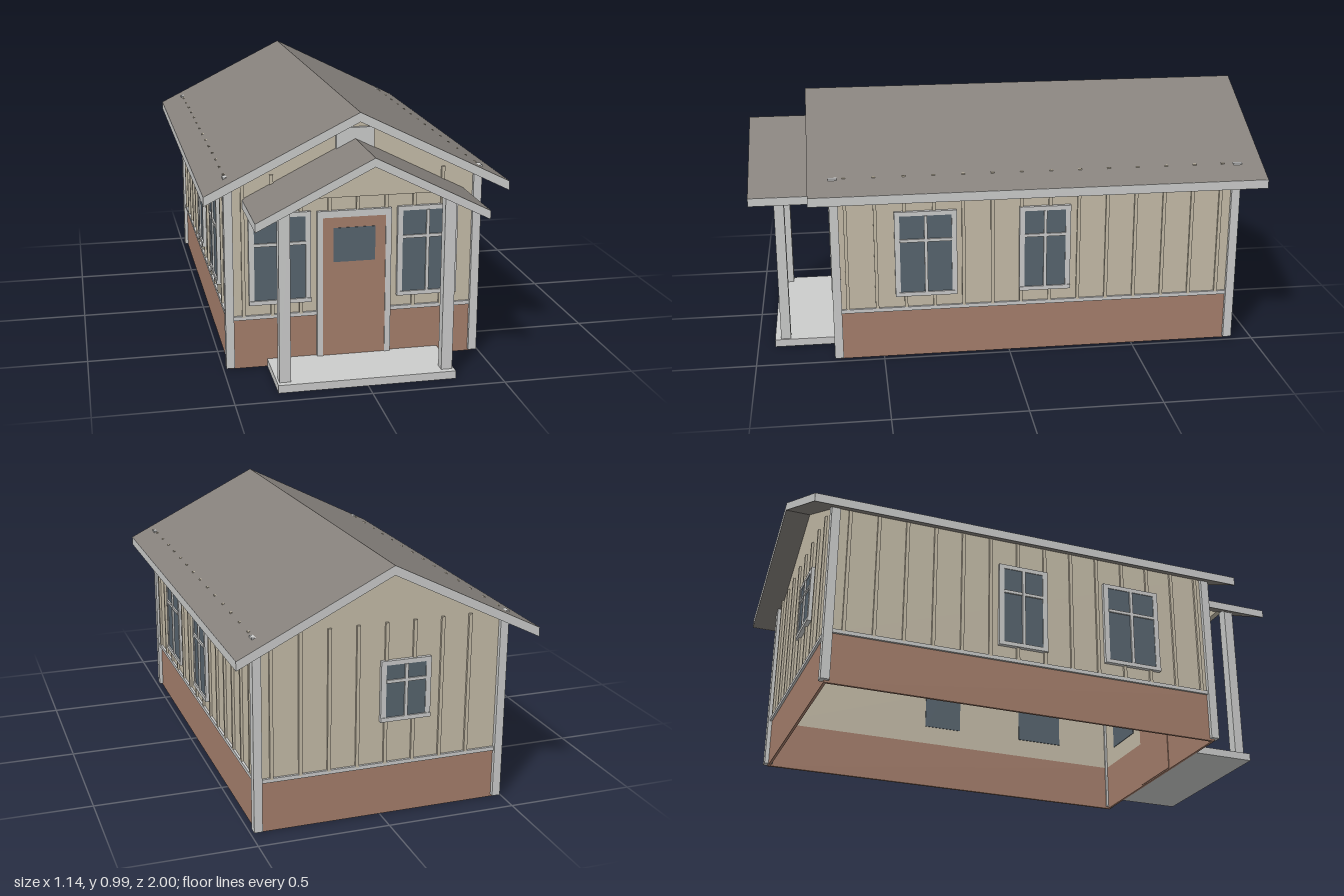
import * as THREE from 'three';

const mat = (name, color) => Object.assign(new THREE.MeshStandardMaterial({ color }), { name });

export function createModel() {
  const siding = mat('sidingBeige', 0xc6bda9);
  const trim = mat('trimGrey', 0xcccdcc);
  const brick = mat('clayBrown', 0xa67f6c);
  const glass = mat('windowBlueGrey', 0x58656f);
  const roofing = mat('roofGrey', 0x86817c);

  const house = new THREE.Group();
  house.name = 'house';

  // Box given by its two extreme corners
  function box(parent, name, m, x0, x1, y0, y1, z0, z1) {
    const mesh = new THREE.Mesh(new THREE.BoxGeometry(x1 - x0, y1 - y0, z1 - z0), m);
    mesh.position.set((x0 + x1) / 2, (y0 + y1) / 2, (z0 + z1) / 2);
    mesh.name = name;
    parent.add(mesh);
    return mesh;
  }

  // Outline in x/y extruded from z0 to z1
  function prism(parent, name, m, points, z0, z1) {
    const shape = new THREE.Shape(points.map(([x, y]) => new THREE.Vector2(x, y)));
    const geo = new THREE.ExtrudeGeometry(shape, { depth: z1 - z0, bevelEnabled: false });
    const mesh = new THREE.Mesh(geo, m);
    mesh.position.z = z0;
    mesh.name = name;
    parent.add(mesh);
    return mesh;
  }

  const W = 0.475, FRONT = 0.68, BACK = -0.9, T = 0.01;
  const BASE = 0.195, BATTEN_TOP = 0.75;

  // Gable walls and side walls, open underneath
  const gable = [[-W, BASE], [W, BASE], [W, 0.722], [0, 0.957], [-W, 0.722]];
  for (const [name, z] of [['front', FRONT - T], ['back', BACK]]) {
    prism(house, name + 'GableWall', siding, gable, z, z + T);
    box(house, name + 'Base', brick, -W, W, 0, BASE, z, z + T);
  }
  for (const s of [-1, 1]) {
    const a = s > 0 ? W - T : -W;
    box(house, 'sideWall', siding, a, a + T, BASE, 0.725, BACK + T, FRONT - T);
    box(house, 'sideBase', brick, a, a + T, 0, BASE, BACK + T, FRONT - T);
  }

  // Each face is a group whose +z points out of the wall; local x runs along it
  function face(name, x, z, turn) {
    const g = new THREE.Group();
    g.name = name;
    g.position.set(x, 0, z);
    g.rotation.y = turn;
    house.add(g);
    return g;
  }
  const front = face('frontFace', 0, FRONT, 0);
  const back = face('backFace', 0, BACK, Math.PI);
  const left = face('leftFace', W, 0, Math.PI / 2);
  const right = face('rightFace', -W, 0, -Math.PI / 2);

  const batten = (g, x, y0 = 0.205) =>
    box(g, 'batten', siding, x - 0.0065, x + 0.0065, y0, BATTEN_TOP, 0, 0.009);
  const band = (g, x0, x1) => box(g, 'waistTrim', trim, x0, x1, BASE, 0.21, 0, 0.009);

  // Window with frame, sill, one upright and one cross bar
  function windowUnit(g, x0, x1, y0, y1) {
    const w = new THREE.Group();
    w.name = 'window';
    g.add(w);
    const f = 0.02, cx = (x0 + x1) / 2, bar = y0 + (y1 - y0) * 0.66;
    box(w, 'pane', glass, x0 + f, x1 - f, y0 + 0.014, y1 - 0.017, -T - 0.003, 0.011);
    box(w, 'frameSide', trim, x0, x0 + f, y0, y1, 0, 0.014);
    box(w, 'frameSide', trim, x1 - f, x1, y0, y1, 0, 0.014);
    box(w, 'frameTop', trim, x0 + f, x1 - f, y1 - 0.017, y1, 0, 0.014);
    box(w, 'sill', trim, x0, x1, y0 - 0.002, y0 + 0.014, 0, 0.017);
    box(w, 'upright', trim, cx - 0.006, cx + 0.006, y0 + 0.014, y1 - 0.017, 0.01, 0.018);
    box(w, 'crossBar', trim, x0 + f, x1 - f, bar - 0.006, bar + 0.006, 0.01, 0.017);
  }

  // Gable end battens, skipping the doorway on the front
  for (let i = 0; i < 8; i++) {
    const x = -0.42 + i * 0.1086;
    batten(front, x, Math.abs(x) < 0.14 ? 0.6 : 0.205);
    batten(back, x);
  }
  band(front, -0.46, -0.142);
  band(front, 0.142, 0.46);
  band(back, -0.46, 0.46);
  for (const s of [-1, 1])
    windowUnit(front, s * 0.283 - 0.117, s * 0.283 + 0.117, 0.255, 0.605);
  windowUnit(back, -0.008, 0.187, 0.375, 0.607);

  // Long sides: local x is -z on the left face and +z on the right face
  for (const [g, dir] of [[left, -1], [right, 1]]) {
    for (let i = 0; i < 14; i++) batten(g, dir * (0.635 - i * 0.1135));
    const span = (z0, z1) => [Math.min(dir * z0, dir * z1), Math.max(dir * z0, dir * z1)];
    band(g, ...span(-0.89, 0.67));
    windowUnit(g, ...span(0.207, 0.449), 0.26, 0.605);
    windowUnit(g, ...span(-0.24, -0.038), 0.26, 0.605);
  }

  // Corner posts
  for (const s of [-1, 1])
    for (const z of [0.677, -0.899])
      box(house, 'cornerPost', trim, s * 0.474 - 0.016, s * 0.474 + 0.016, 0.008, BATTEN_TOP, z - 0.017, z + 0.017);

  // Door with its casing and light
  const door = new THREE.Group();
  door.name = 'door';
  front.add(door);
  box(door, 'doorLeaf', brick, -0.12, 0.12, 0.005, 0.576, -T - 0.003, 0.01);
  box(door, 'doorLight', glass, -0.08, 0.08, 0.402, 0.535, 0.007, 0.012);
  for (const s of [-1, 1])
    box(door, 'doorJamb', trim, s * 0.131 - 0.011, s * 0.131 + 0.011, 0.03, 0.602, 0, 0.014);
  box(door, 'doorHead', trim, -0.12, 0.12, 0.576, 0.602, 0, 0.014);

  // Plate under the ridge
  box(front, 'ridgePlate', trim, -0.071, 0.071, 0.75, 0.915, 0, 0.014);

  // Pitched roofs: grey slopes, light end faces and eave boards
  function roof(name, half, ridge, eave, thick, z0, z1) {
    const g = new THREE.Group();
    g.name = name;
    house.add(g);
    prism(g, 'slopes', [trim, roofing], [
      [-half, eave - thick], [0, ridge - thick], [half, eave - thick],
      [half, eave], [0, ridge], [-half, eave],
    ], z0, z1);
    for (const s of [-1, 1])
      box(g, 'eaveBoard', trim, s * half - 0.001, s * half + 0.001, eave - thick, eave, z0, z1);
  }
  roof('mainRoof', 0.57, 0.986, 0.703, 0.035, -1, 0.772);
  roof('porchRoof', 0.42, 0.873, 0.662, 0.032, FRONT - 0.005, 1);

  // Porch: gable infill, posts and slab
  prism(house, 'porchGable', siding, [[-0.27, 0.712], [0.27, 0.712], [0, 0.848]], 0.875, 0.9);
  for (const s of [-1, 1])
    box(house, 'porchPost', trim, s * 0.304 - 0.021, s * 0.304 + 0.021, 0.03, 0.69, 0.869, 0.908);
  box(house, 'porchSlab', trim, -0.333, 0.333, 0, 0.03, FRONT, 0.932);

  return house;
}
